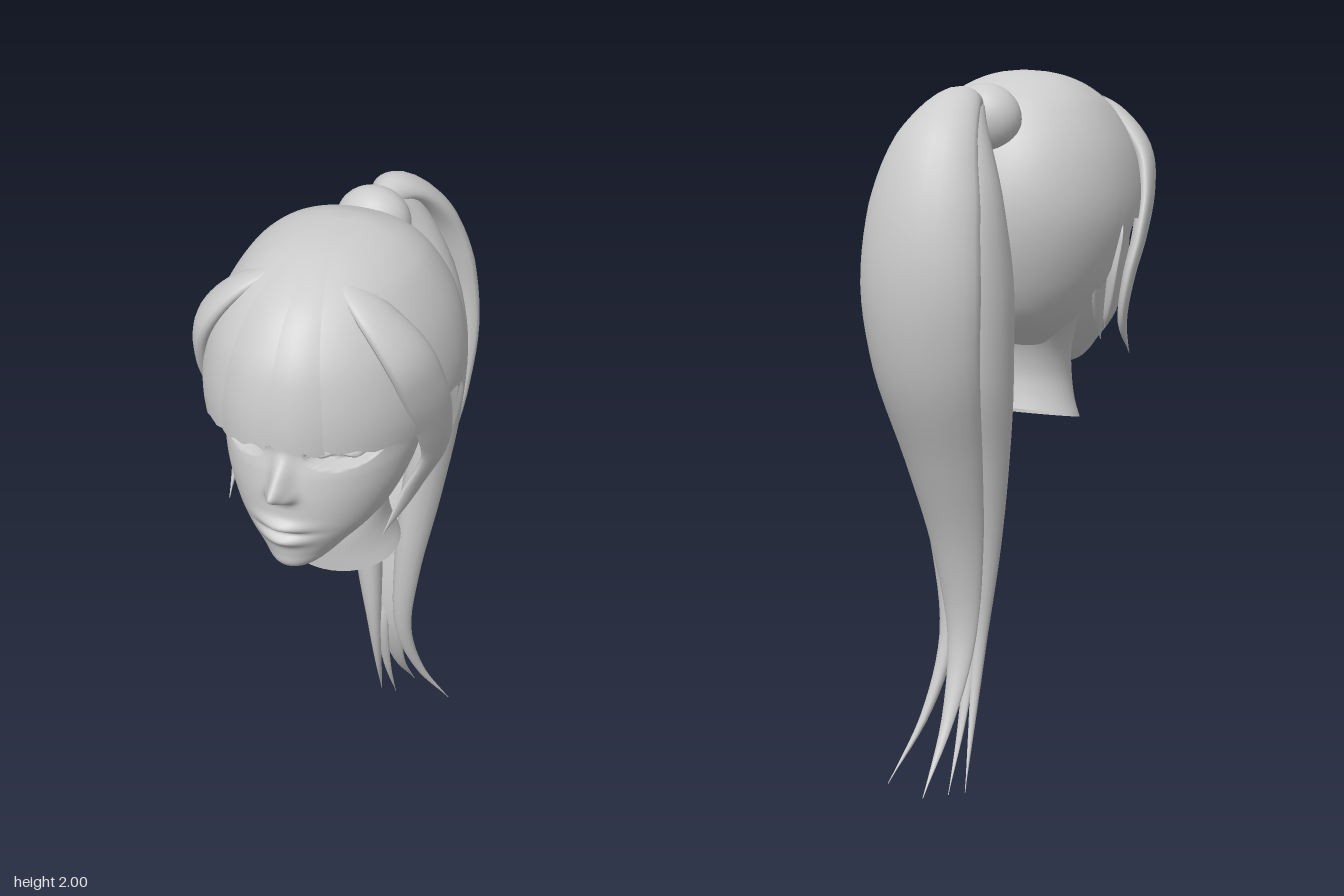
import * as THREE from 'three';

const material = new THREE.MeshStandardMaterial({ color: 0xcccccc, side: THREE.DoubleSide });
const V = (x, y, z) => new THREE.Vector3(x, y, z);
const RAD = Math.PI / 180;
const bell = (d, s) => Math.exp(-(d * d) / (2 * s * s));

// Smooth lookup in rows of [key, value, value...], ascending keys
function lookup(rows, k) {
  const n = rows.length - 1;
  k = THREE.MathUtils.clamp(k, rows[0][0], rows[n][0]);
  let i = 0;
  while (i < n - 1 && k > rows[i + 1][0]) i++;
  const slope = (j, c) => {
    const a = rows[Math.max(j - 1, 0)], b = rows[Math.min(j + 1, n)];
    return (b[c] - a[c]) / (b[0] - a[0]);
  };
  const p = rows[i], q = rows[i + 1], h = q[0] - p[0], t = (k - p[0]) / h, t2 = t * t, t3 = t2 * t;
  return p.slice(1).map((_, j) => {
    const c = j + 1;
    return (2 * t3 - 3 * t2 + 1) * p[c] + (t3 - 2 * t2 + t) * h * slope(i, c)
      + (3 * t2 - 2 * t3) * q[c] + (t3 - t2) * h * slope(i + 1, c);
  });
}

// Surface from a grid of points; wrap joins the first and last columns
function surface(name, nu, nv, fn, wrap = false) {
  const pos = [], idx = [], cols = wrap ? nu : nu + 1;
  for (let j = 0; j <= nv; j++)
    for (let i = 0; i < cols; i++) pos.push(...fn(i / nu, j / nv).toArray());
  for (let j = 0; j < nv; j++)
    for (let i = 0; i < nu; i++) {
      const a = j * cols + i, b = j * cols + (i + 1) % cols;
      idx.push(a, b, b + cols, a, b + cols, a + cols);
    }
  const g = new THREE.BufferGeometry();
  g.setAttribute('position', new THREE.Float32BufferAttribute(pos, 3));
  g.setIndex(idx);
  g.computeVertexNormals();
  const m = new THREE.Mesh(g, material);
  m.name = name;
  return m;
}

// Tapered lock: rows of [x, y, z, half width, half thickness]
function lock(name, rows, across, bend = 0, steps = 36, sides = 16) {
  const path = new THREE.CatmullRomCurve3(rows.map(r => V(r[0], r[1], r[2])));
  const size = new THREE.CatmullRomCurve3(rows.map(r => V(r[3], r[4], 0)));
  return surface(name, sides, steps, (u, v) => {
    const p = path.getPoint(v), s = size.getPoint(v), T = path.getTangent(v);
    const W = across.clone().addScaledVector(T, -across.dot(T)).normalize();
    const N = T.clone().cross(W), a = -u * 2 * Math.PI, c = Math.cos(a);
    const hw = Math.max(s.x, 0.001), th = Math.max(s.y, 0.001);
    return p.addScaledVector(W, hw * c).addScaledVector(N, th * Math.sin(a) + bend * hw * (c * c - 0.4));
  }, true);
}
const mirror = (rows, side) => rows.map(([x, ...r]) => [x * side, ...r]);

// Head sections: y, half width, front z, back z
const HEAD = [[1.127, 0, 0.36, 0.36], [1.131, 0.03, 0.415, 0.285], [1.142, 0.06, 0.45, 0.23], [1.165, 0.09, 0.482, 0.15],
  [1.2, 0.125, 0.49, 0.08], [1.25, 0.172, 0.497, 0.04], [1.3, 0.207, 0.503, 0], [1.38, 0.242, 0.503, -0.05],
  [1.45, 0.26, 0.495, -0.08], [1.52, 0.27, 0.48, -0.1], [1.6, 0.285, 0.505, -0.12], [1.7, 0.26, 0.47, -0.1], [1.78, 0.02, 0.2, 0.15]];
// Nose bridge: y, projection, spread
const NOSE = [[1.365, 0, 0.028], [1.385, 0.012, 0.026], [1.405, 0.05, 0.022], [1.43, 0.08, 0.019],
  [1.46, 0.052, 0.018], [1.52, 0.013, 0.02], [1.58, 0, 0.025]];

function headPoint(a, y) {
  const [w, zf, zb] = lookup(HEAD, y), c = (zf + zb) / 2;
  const p = V(w * Math.sin(a), y, c + (zf - zb) / 2 * Math.cos(a));
  if (Math.cos(a) <= 0) return p;
  const [nose, spread] = lookup(NOSE, y), x = Math.abs(p.x);
  p.z += nose * bell(x, spread) + 0.014 * bell(x - 0.028, 0.011) * bell(y - 1.408, 0.013);
  // Lips and the line between them
  p.z += bell(x, 0.045) * (0.022 * bell(y - 1.307, 0.012) + 0.024 * bell(y - 1.262, 0.014) - 0.01 * bell(y - 1.285, 0.006));
  // Eye socket, deeper toward the lower lid
  const dx = (x - 0.137) / 0.085, dy = (y - 1.515) / 0.036;
  p.z -= (0.034 - 0.018 * dy) * THREE.MathUtils.smoothstep(1 - dx * dx - dy * dy, 0, 0.4);
  return p;
}

// Hair sections: y, half width, front z, back z
const HAIR = [[1.235, 0.15, 0.45, -0.06], [1.3, 0.215, 0.49, -0.15], [1.35, 0.252, 0.51, -0.183], [1.4, 0.28, 0.53, -0.207],
  [1.5, 0.315, 0.55, -0.238], [1.6, 0.332, 0.557, -0.25], [1.7, 0.323, 0.547, -0.24], [1.8, 0.292, 0.515, -0.205],
  [1.9, 0.232, 0.435, -0.135], [1.95, 0.178, 0.35, -0.07], [1.98, 0.12, 0.27, 0], [1.995, 0.06, 0.19, 0.05], [2, 0, 0.1, 0.1]];
// Lower hair edge: degrees from the front, y
const HEM = [[0, 1.63], [60, 1.6], [75, 1.58], [92, 1.57], [98, 1.45], [102, 1.34], [106, 1.335], [118, 1.285], [132, 1.235], [180, 1.235]];

// The section is slightly pointed in front and fuller behind
function hairPoint(a, y, out = 0) {
  const [w, zf, zb] = lookup(HAIR, y), s = Math.sin(a), c = Math.cos(a), mid = 0.1;
  const sx = Math.sign(s) * Math.abs(s) ** (c < 0 ? 0.86 : 1.04);
  return V((w + out) * sx, y, mid + (c > 0 ? zf - mid + out : mid - zb) * c);
}

export function createModel() {
  const model = new THREE.Group();
  const add = (...parts) => model.add(...parts);

  // Face, with columns gathered toward the front
  add(surface('face', 130, 120, (u, v) => {
    const s = u * 2 - 1;
    return headPoint(Math.PI * s - 0.6 * Math.sin(Math.PI * s), 1.127 + 0.653 * v);
  }, true));

  // Neck, open below with a sloping edge, running up under the hair
  const NECK = [[0, 0.172, 0.24, -0.045], [0.15, 0.152, 0.245, -0.036], [0.36, 0.138, 0.25, -0.03],
    [0.62, 0.147, 0.23, -0.045], [1, 0.2, 0.2, -0.1]];
  add(surface('neck', 40, 20, (u, v) => {
    const a = u * 2 * Math.PI, [w, zf, zb] = lookup(NECK, v);
    const z = (zf + zb) / 2 + (zf - zb) / 2 * Math.cos(a);
    return V(w * Math.sin(a), 1.012 + 0.33 * v - 0.23 * (z - 0.1) * (1 - v), z);
  }, true));

  // Scalp hair drawn back to the tie
  add(surface('hairCap', 140, 40, (u, v) => {
    const a = (u * 2 - 1) * Math.PI, hem = lookup(HEM, Math.abs(a) / RAD)[0];
    return hairPoint(a, hem + (2 - hem) * Math.sin(v * Math.PI / 2));
  }, true));

  // Fringe clumps: start and end degrees, hem y at each end
  [[-66, -27, 1.525, 1.57], [-29, 1, 1.555, 1.585], [-1, 24, 1.585, 1.56], [22, 66, 1.575, 1.525]].forEach(([a0, a1, h0, h1], k) => {
    add(surface('fringe' + (k + 1), 24, 24, (u, v) => {
      const hem = h0 + (h1 - h0) * u + 0.02 * Math.abs(((u * 3) % 1) - 0.5);
      const a = (a0 + (a1 - a0) * u) * RAD * (1 - 0.15 * v);
      return hairPoint(a, hem + (1.985 - hem) * Math.sin(v * Math.PI / 2),
        (0.004 + 0.006 * Math.sin(Math.PI * u)) * (1 - 0.8 * v * v));
    }));
  });

  for (const side of [1, -1]) {
    const label = side > 0 ? 'left' : 'right';

    // Face-framing lock; the left one curls farther in
    const tip = side > 0 ? 0.195 : 0.26;
    add(lock(label + 'SideLock', mirror([[0.075, 1.95, 0.3, 0.02, 0.008], [0.185, 1.88, 0.335, 0.06, 0.024],
      [0.273, 1.77, 0.325, 0.078, 0.032], [0.305, 1.66, 0.285, 0.076, 0.027], [0.312, 1.53, 0.22, 0.066, 0.022],
      [0.298, 1.41, 0.175, 0.052, 0.018], [(0.29 + tip) / 2, 1.29, 0.19, 0.042, 0.014], [tip, 1.18, 0.28, 0, 0]], side),
      V(-0.35 * side, 0, 1)));

    // Wisp behind the ear
    add(lock(label + 'EarWisp', mirror([[0.275, 1.5, 0.03, 0.03, 0.01], [0.262, 1.4, 0.05, 0.045, 0.01],
      [0.245, 1.31, 0.09, 0.03, 0.008], [0.228, 1.235, 0.14, 0, 0]], side), V(0, 0, 1), 0, 16, 10));

    // Ear: a dished leaf narrowing to the lobe, flared at the back
    add(lock(label + 'Ear', mirror([[0.3, 1.597, 0.105, 0, 0], [0.3, 1.58, 0.105, 0.042, 0.009], [0.298, 1.53, 0.1, 0.06, 0.011],
      [0.288, 1.45, 0.092, 0.053, 0.011], [0.274, 1.37, 0.1, 0.036, 0.011], [0.258, 1.31, 0.115, 0.02, 0.009],
      [0.245, 1.27, 0.13, 0, 0]], side), V(side * 0.4, 0, -1), side * 0.3, 28, 20));

    // Upper lashes following the lid
    const lash = [[0.055, 1.512], [0.09, 1.543], [0.14, 1.553], [0.195, 1.548], [0.25, 1.556]].map(([x, y], i) => {
      const p = headPoint(Math.asin(x / lookup(HEAD, y)[0]), y), end = i % 4 === 0;
      return [x, y, p.z + 0.006 + 0.006 * i, end ? 0 : 0.014, end ? 0 : 0.007];
    });
    add(lock(label + 'Lashes', mirror(lash, side), V(0, 0, 1), 0, 18, 8));
  }

  // Wound hair at the tie
  const bun = new THREE.Mesh(new THREE.SphereGeometry(1, 28, 18), material);
  bun.name = 'hairTie';
  bun.scale.set(0.105, 0.098, 0.085);
  bun.position.set(-0.015, 1.862, -0.175);
  add(bun);

  // Ponytail: broad back lock and two side locks
  add(lock('ponytailBack', [[-0.01, 1.9, -0.22, 0.03, 0.03], [0, 1.91, -0.3, 0.07, 0.035], [0.015, 1.81, -0.41, 0.125, 0.05],
    [0.022, 1.64, -0.472, 0.165, 0.06], [0.025, 1.43, -0.494, 0.178, 0.064], [0.025, 1.2, -0.462, 0.16, 0.062],
    [0.022, 0.95, -0.372, 0.12, 0.052], [0.018, 0.68, -0.293, 0.08, 0.034], [0.015, 0.42, -0.272, 0.045, 0.018],
    [0.02, 0.2, -0.345, 0.02, 0.01], [0.03, 0.01, -0.475, 0, 0]], V(1, 0, 0), 0.2, 50, 24));
  add(lock('ponytailLeft', [[0, 1.91, -0.23, 0.02, 0.02], [0.04, 1.86, -0.29, 0.045, 0.03], [0.105, 1.66, -0.333, 0.08, 0.055],
    [0.14, 1.42, -0.323, 0.104, 0.068], [0.132, 1.18, -0.303, 0.104, 0.065], [0.108, 0.95, -0.268, 0.078, 0.06],
    [0.08, 0.68, -0.237, 0.044, 0.042], [0.066, 0.42, -0.25, 0.024, 0.026], [0.1, 0.2, -0.325, 0.012, 0.013],
    [0.17, 0.01, -0.425, 0, 0]], V(0, 0, 1), 0.15, 50));
  add(lock('ponytailRight', [[-0.02, 1.91, -0.23, 0.02, 0.02], [-0.045, 1.86, -0.29, 0.045, 0.025], [-0.09, 1.66, -0.33, 0.078, 0.042],
    [-0.107, 1.42, -0.32, 0.102, 0.048], [-0.094, 1.18, -0.3, 0.1, 0.052], [-0.072, 0.95, -0.263, 0.074, 0.05],
    [-0.045, 0.68, -0.237, 0.044, 0.042], [-0.03, 0.42, -0.245, 0.022, 0.022], [-0.035, 0.2, -0.3, 0.012, 0.01],
    [-0.055, 0.01, -0.385, 0, 0]], V(0, 0, 1), -0.15, 50));

  // Loose strand end
  add(lock('looseEnd', [[-0.01, 0.62, -0.285, 0, 0], [-0.01, 0.42, -0.26, 0.022, 0.012], [-0.009, 0.2, -0.31, 0.013, 0.008],
    [-0.01, 0, -0.4, 0, 0]], V(1, 0, 0), 0, 24, 10));

  return model;
}
